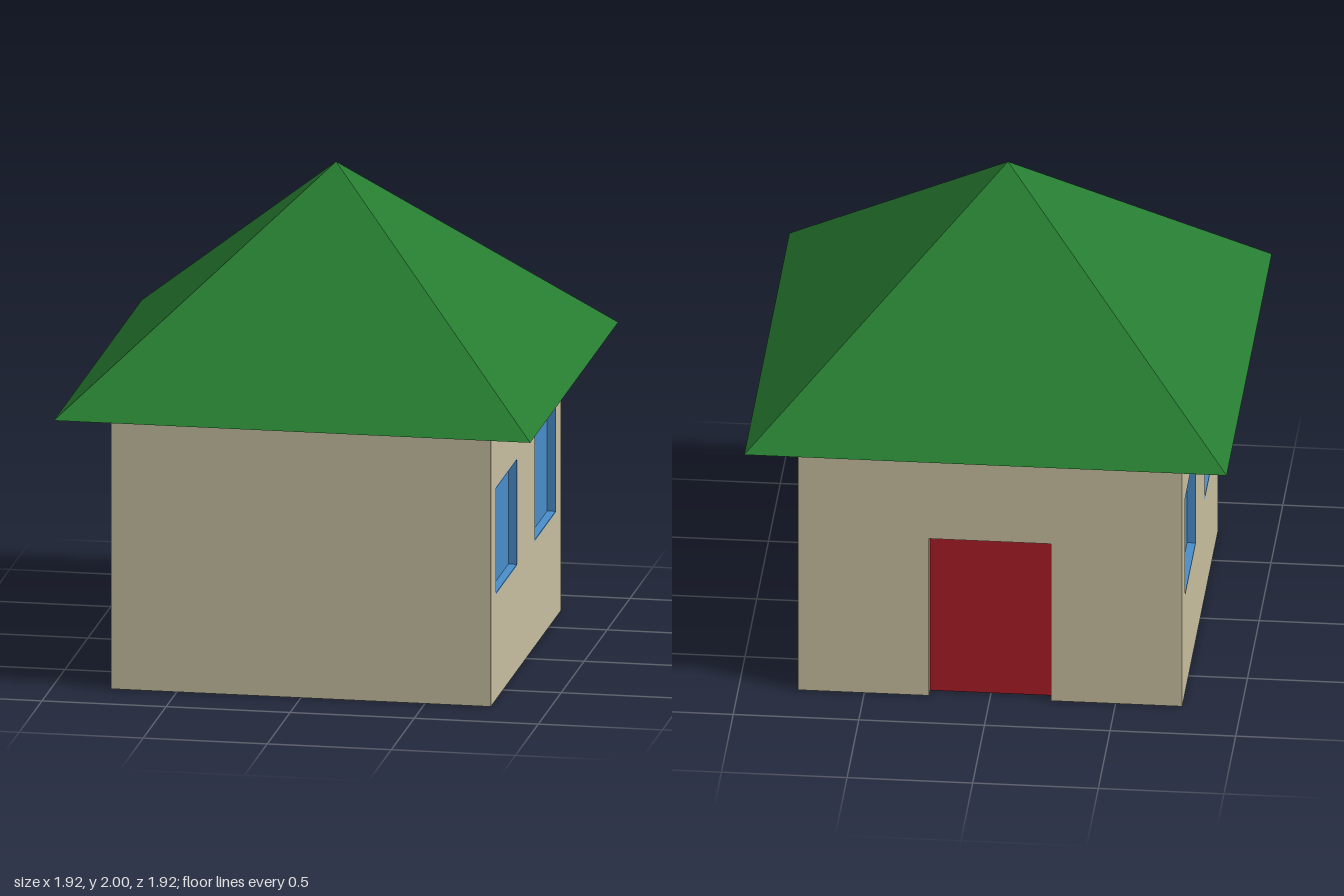
import * as THREE from 'three';

const HALF = 0.765, WALL_H = 1.14;      // walls
const EAVE = 0.96, PEAK = 2;            // roof
const WIN_DEPTH = 0.038, DOOR_DEPTH = 0.05;
const WIN = { centre: 0.422, y: 0.65, w: 0.465, h: 0.44 };
const DOOR = { half: 0.243, h: 0.7 };

function material(name, color) {
  const m = new THREE.MeshStandardMaterial({ color });
  m.name = name;
  return m;
}

function add(parent, name, geometry, mat, x = 0, y = 0, z = 0) {
  const mesh = new THREE.Mesh(geometry, mat);
  mesh.name = name;
  mesh.position.set(x, y, z);
  parent.add(mesh);
  return mesh;
}

function polygon(points, Type = THREE.Shape) {
  return new Type(points.map(([x, y]) => new THREE.Vector2(x, y)));
}

const extrude = (shape, depth) =>
  new THREE.ExtrudeGeometry(shape, { depth, bevelEnabled: false });

export function createModel() {
  const model = new THREE.Group();
  model.name = 'house';
  const cream = material('creamWall', 0xc9c1a1);
  const green = material('greenRoof', 0x267c31);
  const blue = material('blueGlass', 0x4a8ecb);
  const red = material('redDoor', 0xac1d26);

  // Solid core, set back behind the window and door recesses
  const inner = HALF - WIN_DEPTH;
  const coreLength = 2 * HALF - DOOR_DEPTH;
  add(model, 'houseCore', new THREE.BoxGeometry(2 * inner, WALL_H, coreLength), cream,
    0, WALL_H / 2, DOOR_DEPTH / 2);

  // Back wall with a doorway open to the ground
  const { half, h } = DOOR;
  const backShape = polygon([[-inner, 0], [-half, 0], [-half, h], [half, h],
    [half, 0], [inner, 0], [inner, WALL_H], [-inner, WALL_H]]);
  add(model, 'backWall', extrude(backShape, DOOR_DEPTH), cream, 0, 0, -HALF);
  add(model, 'door', new THREE.BoxGeometry(2 * half, h, 0.004), red,
    0, h / 2, -HALF + DOOR_DEPTH - 0.002);

  // Side walls, each with two recessed windows lined in blue
  for (const side of [1, -1]) {
    const wall = new THREE.Group();
    wall.name = side > 0 ? 'leftWall' : 'rightWall';
    wall.rotation.y = side * Math.PI / 2;
    wall.position.x = side * inner;
    model.add(wall);

    const shape = polygon([[-HALF, 0], [HALF, 0], [HALF, WALL_H], [-HALF, WALL_H]]);
    for (const s of [-1, 1]) {
      const cx = s * WIN.centre, a = WIN.w / 2, b = WIN.h / 2;
      shape.holes.push(polygon([[cx - a, WIN.y - b], [cx - a, WIN.y + b],
        [cx + a, WIN.y + b], [cx + a, WIN.y - b]], THREE.Path));

      const win = new THREE.Group();
      win.name = 'window';
      win.position.set(cx, WIN.y, 0);
      wall.add(win);
      const t = 0.006;
      add(win, 'pane', new THREE.BoxGeometry(WIN.w, WIN.h, 0.004), blue, 0, 0, 0.002);
      for (const e of [-1, 1]) {
        add(win, 'sideLining', new THREE.BoxGeometry(t, WIN.h, WIN_DEPTH), blue,
          e * (a - t / 2), 0, WIN_DEPTH / 2);
        add(win, 'sillLining', new THREE.BoxGeometry(WIN.w - 2 * t, t, WIN_DEPTH), blue,
          0, e * (b - t / 2), WIN_DEPTH / 2);
      }
    }
    add(wall, 'wallPanel', extrude(shape, WIN_DEPTH), cream);
  }

  // Four-sided pyramid roof with a flat underside
  const roof = new THREE.ConeGeometry(EAVE * Math.SQRT2, PEAK - WALL_H, 4, 1, false, Math.PI / 4)
    .toNonIndexed();
  roof.computeVertexNormals();
  add(model, 'roof', roof, green, 0, (PEAK + WALL_H) / 2, 0);

  return model;
}
